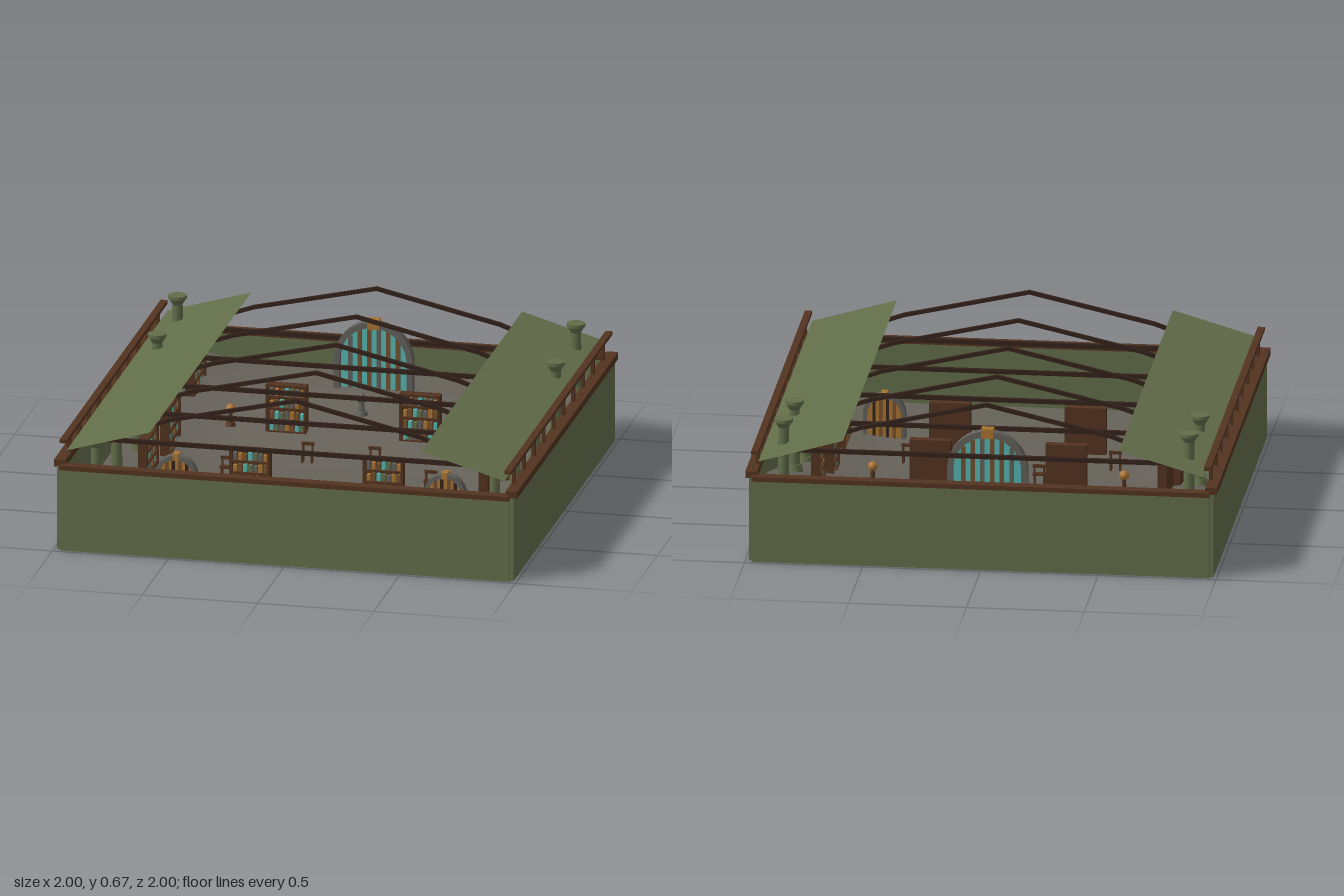
import * as THREE from 'three';

const mat = (name, color, side = THREE.FrontSide) => {
  const m = new THREE.MeshStandardMaterial({ color, side });
  m.name = name;
  return m;
};

export function createModel() {
  const M = {
    green: mat('moss green', 0x626d49),
    roof: mat('roof green', 0x626d49, THREE.DoubleSide),
    floor: mat('warm grey floor', 0x66625a, THREE.DoubleSide),
    trim: mat('trim brown', 0x52331f),
    dark: mat('dark beam brown', 0x33211a),
    stone: mat('stone grey', 0x62605a),
    teal: mat('teal glass', 0x55b5b0),
    amber: mat('amber wood', 0xa87330),
    plank: mat('plank brown', 0x73502f),
  };
  const model = new THREE.Group();
  model.name = 'hall';

  const add = (name, geo, m, x, y, z, parent = model) => {
    const mesh = new THREE.Mesh(geo, m);
    mesh.name = name;
    mesh.position.set(x, y, z);
    parent.add(mesh);
    return mesh;
  };
  const box = (name, m, w, h, d, x, y, z, parent) =>
    add(name, new THREE.BoxGeometry(w, h, d), m, x, y, z, parent);
  const cyl = (name, m, rt, rb, h, x, y, z, parent, n = 14) =>
    add(name, new THREE.CylinderGeometry(rt, rb, h, n), m, x, y, z, parent);
  const group = (name, x, y, z) => {
    const g = new THREE.Group();
    g.name = name;
    g.position.set(x, y, z);
    model.add(g);
    return g;
  };

  // Floor height: raised at the back, sloping down to the front, banked at the sides
  const smooth = THREE.MathUtils.smoothstep;
  const floorY = (x, z) =>
    0.237 - 0.14 * smooth(z, -0.75, 0) + 0.045 * smooth(Math.abs(x), 0.5, 0.9);

  const floorGeo = new THREE.PlaneGeometry(1.92, 1.92, 32, 40).rotateX(-Math.PI / 2);
  const p = floorGeo.attributes.position;
  for (let i = 0; i < p.count; i++) p.setY(i, floorY(p.getX(i), p.getZ(i)));
  floorGeo.computeVertexNormals();
  add('floor', floorGeo, M.floor, 0, 0, 0);

  // Outer walls and their cap trims
  for (const s of [-1, 1]) {
    box('endWall', M.green, 1.94, 0.37, 0.03, 0, 0.185, s * 0.97);
    box('sideWall', M.green, 0.03, 0.37, 1.94, s * 0.97, 0.185, 0);
    box('endTrim', M.trim, 1.94, 0.02, 0.05, 0, 0.37, s * 0.975);
    box('sideTrim', M.trim, 0.05, 0.03, 1.94, s * 0.975, 0.38, 0);

    // Railing along each side
    box('handrail', M.trim, 0.03, 0.015, 1.94, s * 0.96, 0.478, 0);
    for (let i = 0; i < 10; i++)
      box('railPost', M.trim, 0.015, 0.08, 0.015, s * 0.96, 0.434, -0.85 + i * 1.7 / 9);

    // Sloping roof strip
    const dx = 0.36, dy = 0.105;
    const roof = add('roofStrip', new THREE.PlaneGeometry(Math.hypot(dx, dy), 1.94).rotateX(-Math.PI / 2),
      M.roof, s * 0.765, 0.4925, 0);
    roof.rotation.z = -s * Math.atan2(dy, dx);
  }

  // Trusses and columns
  const beam = (a, b, z) => {
    const dx = b[0] - a[0], dy = b[1] - a[1];
    const m = box('rafter', M.dark, Math.hypot(dx, dy) + 0.008, 0.016, 0.016,
      (a[0] + b[0]) / 2, (a[1] + b[1]) / 2, z);
    m.rotation.z = Math.atan2(dy, dx);
  };
  for (const z of [-0.78, -0.39, 0, 0.385, 0.775]) {
    box('tieBeam', M.dark, 1.68, 0.018, 0.016, 0, 0.436, z);
    for (const s of [-1, 1]) {
      beam([s * 0.84, 0.436], [s * 0.53, 0.545], z);
      beam([s * 0.53, 0.545], [0, 0.665], z);
      const top = z < -0.6 ? 0.575 : z < -0.2 ? 0.53 : 0.44;
      const g = group('column', s * 0.86, top, z);
      cyl('capitalSlab', M.green, 0.04, 0.04, 0.014, 0, -0.007, 0, g);
      cyl('capital', M.green, 0.038, 0.022, 0.026, 0, -0.027, 0, g);
      cyl('shaft', M.green, 0.022, 0.024, 0.26, 0, -0.16, 0, g);
      cyl('columnBase', M.green, 0.03, 0.038, 0.04, 0, -0.3, 0, g);
    }
  }

  // Arch outline: straight legs under a half circle
  const archPath = (target, r, leg) => {
    target.moveTo(-r, 0);
    target.lineTo(r, 0);
    target.lineTo(r, leg);
    target.absarc(0, leg, r, 0, Math.PI, false);
    target.lineTo(-r, 0);
    return target;
  };
  const arch = (name, x, z, r, leg, t, panel, bars, barMats) => {
    const g = group(name, x, floorY(x, z) - 0.01, z);
    const frame = archPath(new THREE.Shape(), r, leg);
    frame.holes.push(archPath(new THREE.Path(), r - t, leg));
    add('archFrame', new THREE.ExtrudeGeometry(frame, { depth: 0.04, bevelEnabled: false, curveSegments: 18 }),
      M.stone, 0, 0, -0.02, g);
    add('archPanel', new THREE.ExtrudeGeometry(archPath(new THREE.Shape(), r - t, leg),
      { depth: 0.008, bevelEnabled: false, curveSegments: 18 }), panel, 0, 0, -0.012, g);
    const ri = r - t;
    for (let i = 0; i < bars; i++) {
      const bx = ri * (-1 + 2 * (i + 1) / (bars + 1));
      const h = leg + Math.sqrt(ri * ri - bx * bx);
      box('archBar', barMats[i % barMats.length], ri * 0.9 / (bars + 1), h, 0.022, bx, h / 2, -0.006, g);
    }
    box('keystone', M.amber, r * 0.3, t * 1.6, 0.046, 0, leg + r - t * 0.4, 0, g);
  };
  arch('greatArch', 0, -0.73, 0.17, 0.14, 0.026, M.teal, 6, [M.stone, M.plank, M.plank]);
  for (const s of [-1, 1])
    arch('smallArch', s * 0.58, 0.48, 0.09, 0.11, 0.018, M.amber, 4, [M.plank, M.dark]);

  // Bookshelves with rows of coloured books
  const shelf = (x, z, w, turn) => {
    const g = group('bookshelf', x, floorY(x, z) - 0.01, z);
    g.rotation.y = turn;
    const h = 0.215, books = [M.teal, M.amber, M.green, M.plank, M.stone];
    box('shelfBack', M.trim, w, h, 0.008, 0, h / 2, -0.016, g);
    for (const s of [-1, 1]) box('shelfSide', M.trim, 0.012, h, 0.04, s * (w / 2 - 0.006), h / 2, 0, g);
    for (let r = 0; r < 5; r++) {
      box('shelfBoard', M.trim, w, 0.01, 0.04, 0, 0.005 + r * 0.051, 0, g);
      if (r === 4) break;
      for (let i = 0; i < 7; i++) {
        const bh = 0.026 + ((i * 3 + r * 2) % 4) * 0.003;
        box('book', books[(i * 2 + r * 3) % 5], w * 0.09, bh, 0.022,
          (i - 3) * w * 0.125, 0.01 + r * 0.051 + bh / 2, 0, g);
      }
    }
  };
  for (const s of [-1, 1]) {
    for (const z of [-0.34, 0.36]) shelf(s * 0.288, z, 0.175, 0);
    for (const z of [-0.575, -0.09, 0.33]) shelf(s * 0.735, z, 0.23, -s * Math.PI / 2);

    // Small chairs
    for (const [x, z] of [[0.145, -0.1], [0.44, 0.14]]) {
      const g = group('chair', s * x, floorY(x, z), z);
      for (const k of [-1, 1]) {
        box('chairPost', M.trim, 0.008, 0.085, 0.008, k * 0.02, 0.042, -0.006, g);
        box('chairLeg', M.trim, 0.008, 0.04, 0.008, k * 0.02, 0.02, 0.012, g);
      }
      box('chairSeat', M.trim, 0.055, 0.01, 0.026, 0, 0.042, 0.003, g);
      box('chairBack', M.trim, 0.055, 0.014, 0.008, 0, 0.08, -0.006, g);
    }

    // Lamps on pedestals
    const lamp = group('lamp', s * 0.533, floorY(0.533, -0.345), -0.345);
    cyl('lampBase', M.trim, 0.018, 0.023, 0.015, 0, 0.007, 0, lamp);
    cyl('lampStem', M.trim, 0.008, 0.01, 0.05, 0, 0.038, 0, lamp);
    add('lampGlobe', new THREE.SphereGeometry(0.021, 14, 10), M.amber, 0, 0.075, 0, lamp);
  }

  // Central stone pedestal with a ball
  const ped = group('pedestal', 0, floorY(0, -0.49), -0.49);
  cyl('pedestalBase', M.stone, 0.022, 0.027, 0.018, 0, 0.009, 0, ped);
  cyl('pedestalStem', M.stone, 0.01, 0.014, 0.045, 0, 0.04, 0, ped);
  cyl('pedestalTop', M.stone, 0.026, 0.016, 0.014, 0, 0.066, 0, ped);
  add('pedestalBall', new THREE.SphereGeometry(0.015, 12, 8), M.stone, 0, 0.085, 0, ped);

  return model;
}
